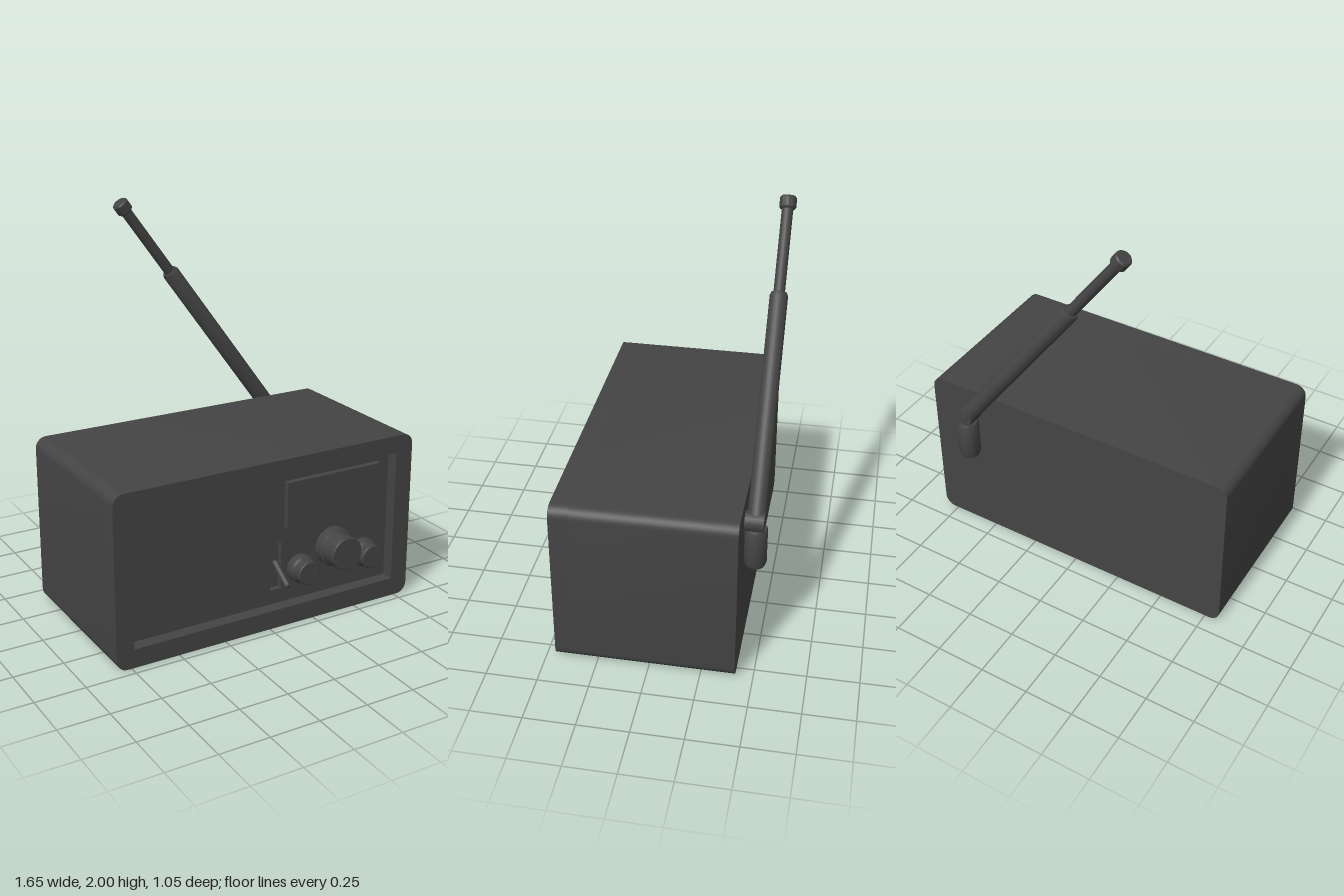
import * as THREE from 'three';
import { toCreasedNormals } from 'three/addons/utils/BufferGeometryUtils.js';

const material = new THREE.MeshStandardMaterial({ color: 0x444444 });

function add(parent, name, geometry, x = 0, y = 0, z = 0) {
  const mesh = new THREE.Mesh(geometry, material);
  mesh.name = name;
  mesh.position.set(x, y, z);
  parent.add(mesh);
  return mesh;
}

// Rectangle outline from its edges, with optional rounded corners
function rect(x0, x1, y0, y1, r = 0, Type = THREE.Shape) {
  const s = new Type();
  if (r === 0) {
    s.moveTo(x0, y0).lineTo(x1, y0).lineTo(x1, y1).lineTo(x0, y1).closePath();
    return s;
  }
  s.moveTo(x0 + r, y0).lineTo(x1 - r, y0);
  s.absarc(x1 - r, y0 + r, r, -Math.PI / 2, 0);
  s.absarc(x1 - r, y1 - r, r, 0, Math.PI / 2);
  s.absarc(x0 + r, y1 - r, r, Math.PI / 2, Math.PI);
  s.absarc(x0 + r, y0 + r, r, Math.PI, Math.PI * 1.5);
  return s;
}

function extrude(shape, z0, z1) {
  const g = new THREE.ExtrudeGeometry(shape, { depth: z1 - z0, bevelEnabled: false, curveSegments: 4 });
  g.translate(0, 0, z0);
  return toCreasedNormals(g, 0.6);
}

// Solid turned around an axis, from [radius, height] points
function turned(points, sides = 24) {
  const profile = points.map(([r, h]) => new THREE.Vector2(r, h));
  return toCreasedNormals(new THREE.LatheGeometry(profile, sides), 0.6);
}

// Stepped dial with a wide collar, turned to face forward
function knob(parent, name, x, y, r, front) {
  const d = front - 0.39;
  const g = turned([[0, 0], [r * 1.16, 0], [r * 1.16, 0.04], [r, 0.05], [r, d - 0.005], [r - 0.005, d], [0, d]], 28);
  g.rotateX(Math.PI / 2);
  add(parent, name, g, x, y, 0.39);
}

export function createModel() {
  const radio = new THREE.Group();
  radio.name = 'radio';

  // Cabinet with a raised frame around the front
  const outline = () => rect(-0.825, 0.825, 0, 0.87, 0.055);
  add(radio, 'cabinet', extrude(outline(), -0.415, 0.36));
  const frame = outline();
  frame.holes.push(rect(-0.735, 0.73, 0.095, 0.782, 0, THREE.Path));
  add(radio, 'frontFrame', extrude(frame, 0.36, 0.455));

  // Recessed front panel with a slot for the slider
  const panel = rect(-0.735, 0.73, 0.095, 0.782);
  panel.holes.push(rect(0.04, 0.1, 0.17, 0.418, 0, THREE.Path));
  add(radio, 'frontPanel', extrude(panel, 0.36, 0.39));
  add(radio, 'display', new THREE.BoxGeometry(0.545, 0.24, 0.03), 0.3875, 0.61, 0.405);

  // Slider lever, sloping down towards its tip
  const lever = add(radio, 'sliderLever', new THREE.CapsuleGeometry(0.016, 0.13, 4, 12), 0.072, 0.272, 0.435);
  lever.rotation.x = Math.PI / 2 + 0.6;

  // Dials
  knob(radio, 'leftDial', 0.585, 0.26, 0.062, 0.485);
  knob(radio, 'rightDial', 0.207, 0.26, 0.062, 0.485);
  knob(radio, 'tuningDial', 0.4, 0.335, 0.086, 0.525);

  // Aerial socket and hinge on the back
  add(radio, 'aerialSocket',
    turned([[0, 0], [0.03, 0], [0.046, 0.008], [0.054, 0.03], [0.054, 0.21], [0.048, 0.22], [0, 0.22]]),
    0.587, 0.5, -0.467);
  const hinge = add(radio, 'aerialHinge', new THREE.CylinderGeometry(0.048, 0.048, 0.09, 24), 0.588, 0.752, -0.46);
  hinge.rotation.x = Math.PI / 2;

  // Telescopic aerial, leaning towards the model's right
  const aerial = new THREE.Group();
  aerial.name = 'aerial';
  aerial.position.set(0.588, 0.75, -0.465);
  aerial.rotation.z = Math.atan2(0.592, 0.806);
  add(aerial, 'lowerTube',
    turned([[0, 0], [0.043, 0], [0.043, 1.05], [0.036, 1.067], [0, 1.067]]));
  add(aerial, 'upperTube', new THREE.CylinderGeometry(0.027, 0.027, 0.45, 20), 0, 1.265, 0);
  add(aerial, 'tip',
    turned([[0, 0], [0.034, 0], [0.04, 0.008], [0.04, 0.052], [0.034, 0.06], [0, 0.06]]), 0, 1.463, 0);
  radio.add(aerial);

  return radio;
}
